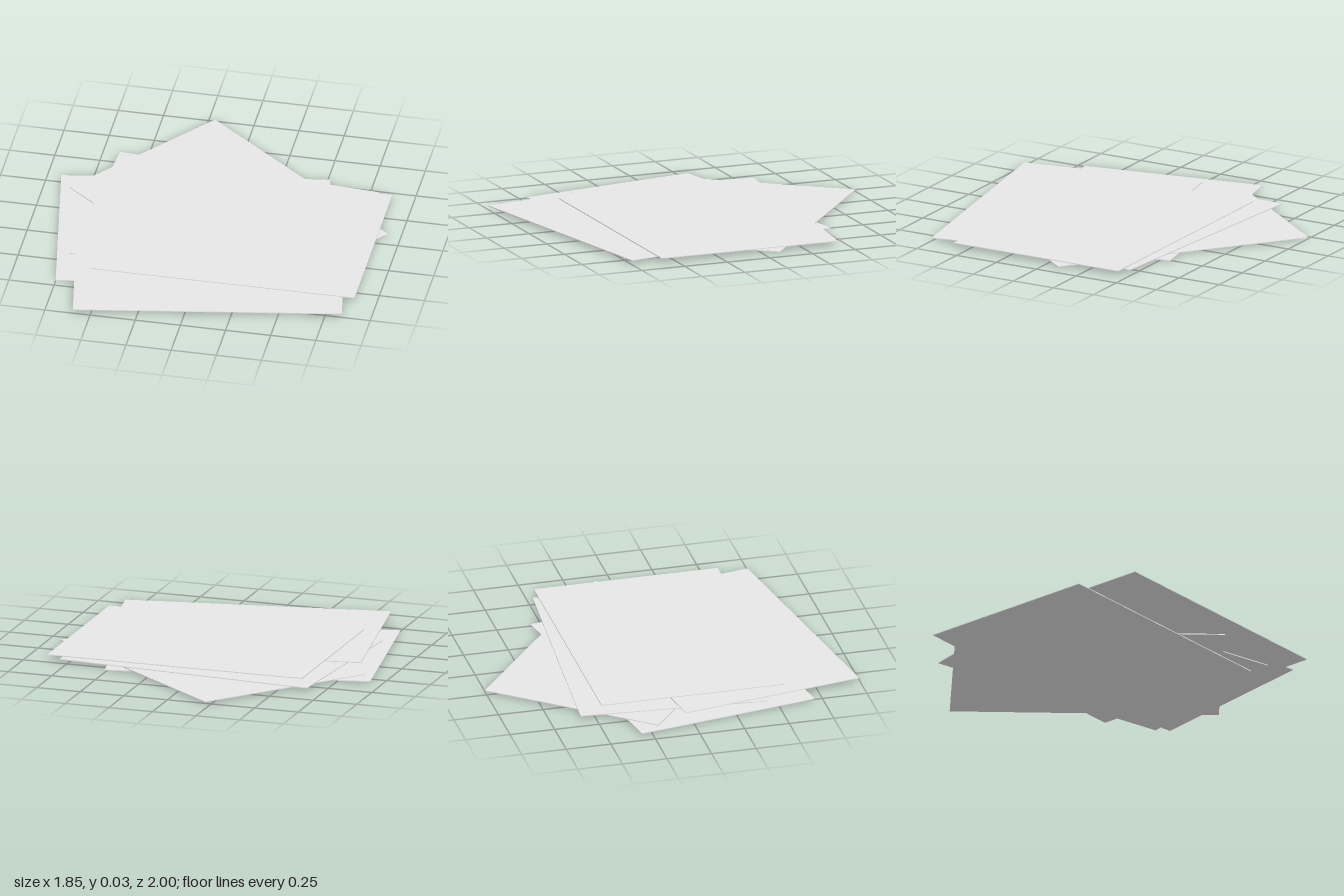
import * as THREE from 'three';

// Loose stack of five paper sheets, each turned and shifted on the one below
export function createModel() {
  const stack = new THREE.Group();
  stack.name = 'paperStack';

  const paper = new THREE.MeshStandardMaterial({ color: 0xe7e7e7 });
  paper.name = 'paperWhite';

  const thickness = 0.005;
  const spacing = 0.0055;
  const sheet = new THREE.BoxGeometry(1.46, thickness, 1.03);

  // Bottom to top: centre x, centre z, turn about the vertical
  const layout = [
    ['bottomSheet', -0.118, 0.075, 0.171],
    ['secondSheet', 0.034, -0.143, -0.674],
    ['middleSheet', 0.034, -0.012, -0.0755],
    ['fourthSheet', 0.035, 0.363, 0.172],
    ['topSheet', 0.15, 0.072, 0],
  ];

  layout.forEach(([name, x, z, turn], i) => {
    const mesh = new THREE.Mesh(sheet, paper);
    mesh.name = name;
    mesh.position.set(x, thickness / 2 + i * spacing, z);
    mesh.rotation.y = turn;
    stack.add(mesh);
  });

  return stack;
}
